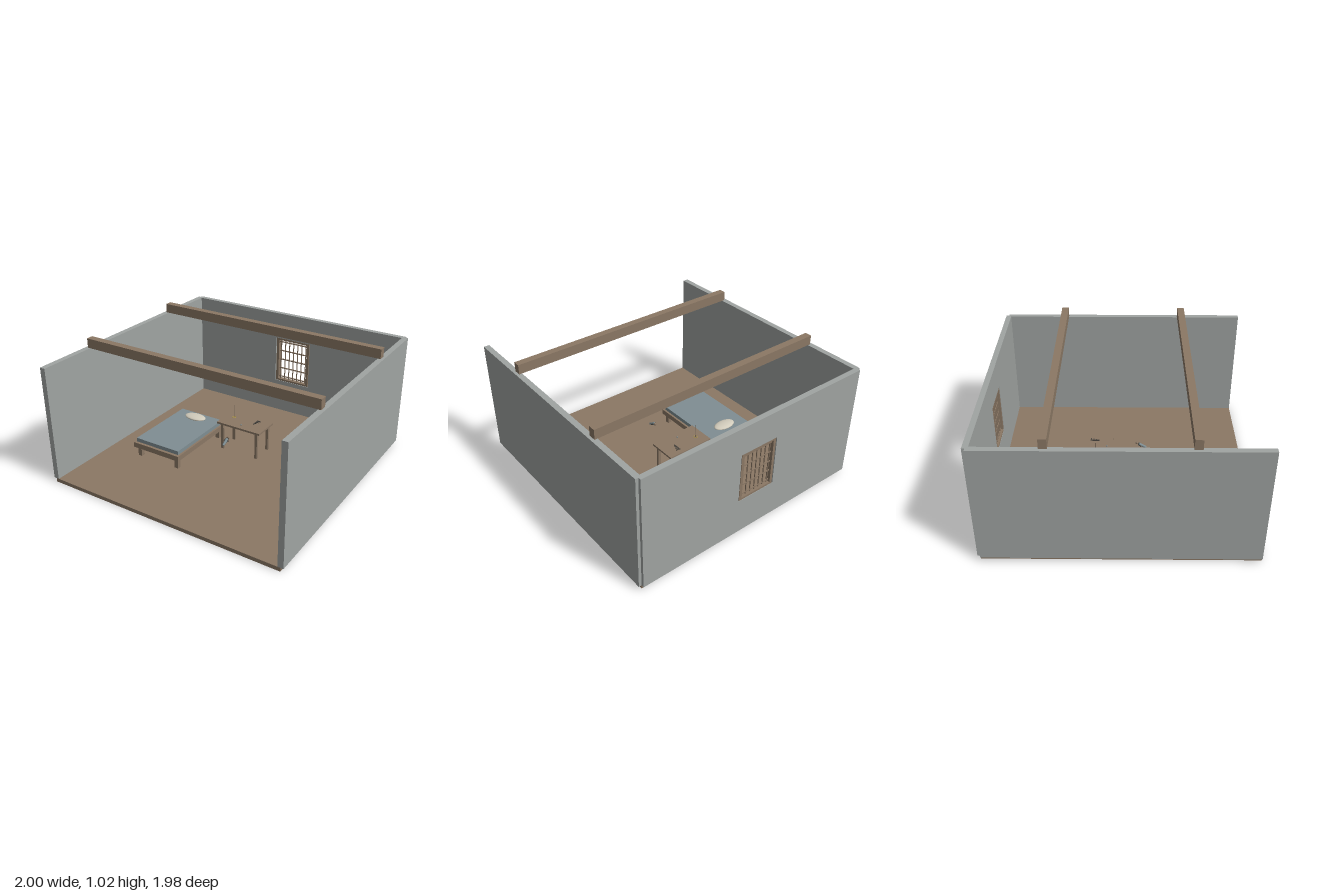
import * as THREE from 'three';

const mat = (color, extra = {}) => new THREE.MeshStandardMaterial({ color, ...extra });

export function createModel() {
  const room = new THREE.Group();
  room.name = 'room';
  const wood = mat(0x8b7865), plaster = mat(0xa0a4a2), cloth = mat(0x7f8e93);
  const cream = mat(0xd2ccbc), dark = mat(0x4a4640), gold = mat(0xb8a04a);

  const add = (parent, name, geometry, material, x = 0, y = 0, z = 0) => {
    const mesh = new THREE.Mesh(geometry, material);
    mesh.name = name;
    mesh.position.set(x, y, z);
    parent.add(mesh);
    return mesh;
  };
  // Box given by its minimum and maximum along each axis
  const box = (parent, name, material, x0, x1, y0, y1, z0, z1) =>
    add(parent, name, new THREE.BoxGeometry(x1 - x0, y1 - y0, z1 - z0), material,
      (x0 + x1) / 2, (y0 + y1) / 2, (z0 + z1) / 2);
  const group = (name) => {
    const g = new THREE.Group();
    g.name = name;
    room.add(g);
    return g;
  };

  // Floor, side walls and ceiling beams
  box(room, 'floor', wood, -0.978, 0.978, 0, 0.03, -0.97, 0.99);
  box(room, 'rightWall', plaster, -1, -0.956, 0.03, 0.945, -0.97, 0.99);
  box(room, 'leftWall', plaster, 0.956, 1, 0.03, 0.945, -0.97, 0.99);
  for (const z of [-0.482, 0.496])
    box(room, 'ceilingBeam', wood, -0.978, 0.978, 0.945, 1.02, z - 0.028, z + 0.028);

  // Back wall with window opening
  const wall = new THREE.Shape([[-0.978, 0.03], [0.978, 0.03], [0.978, 0.945], [-0.978, 0.945]]
    .map(p => new THREE.Vector2(...p)));
  wall.holes.push(new THREE.Path([[-0.163, 0.318], [-0.163, 0.722], [0.163, 0.722], [0.163, 0.318]]
    .map(p => new THREE.Vector2(...p))));
  add(room, 'backWall', new THREE.ExtrudeGeometry(wall, { depth: 0.042, bevelEnabled: false }),
    plaster, 0, 0, -0.992);

  // Window frame and lattice
  const win = group('window');
  for (const s of [-1, 1]) {
    box(win, 'frameSide', wood, s * 0.146 - 0.011, s * 0.146 + 0.011, 0.32, 0.72, -0.99, -0.952);
    const y = 0.52 + s * 0.192;
    box(win, 'frameRail', wood, -0.157, 0.157, y - 0.008, y + 0.008, -0.99, -0.952);
  }
  for (let i = -3; i <= 3; i++)
    box(win, 'verticalBar', wood, i * 0.04 - 0.003, i * 0.04 + 0.003, 0.325, 0.715, -0.975, -0.967);
  for (let i = -2; i <= 2; i++) {
    const y = 0.52 + i * 0.082;
    box(win, 'horizontalBar', wood, -0.14, 0.14, y - 0.004, y + 0.004, -0.976, -0.966);
  }

  // Bed
  const bed = group('bed');
  box(bed, 'bedFrame', wood, -0.695, -0.255, 0.11, 0.153, -0.255, 0.403);
  box(bed, 'mattress', cloth, -0.68, -0.272, 0.153, 0.185, -0.238, 0.38);
  for (const x of [-0.655, -0.293])
    for (const z of [-0.215, 0.363])
      box(bed, 'bedLeg', wood, x - 0.017, x + 0.017, 0.03, 0.11, z - 0.017, z + 0.017);
  add(bed, 'pillow', new THREE.SphereGeometry(1, 16, 12), cream, -0.475, 0.203, -0.142)
    .scale.set(0.098, 0.018, 0.056);

  // Table
  const table = group('table');
  box(table, 'tableTop', wood, -0.2, 0.195, 0.256, 0.272, -0.285, -0.06);
  for (const x of [-0.161, 0.157])
    for (const z of [-0.26, -0.085])
      box(table, 'tableLeg', wood, x - 0.011, x + 0.011, 0.03, 0.256, z - 0.011, z + 0.011);

  // Candle in a ring holder
  const candle = group('candle');
  add(candle, 'candleRing', new THREE.TorusGeometry(0.014, 0.0025, 8, 20), gold, -0.122, 0.275, -0.196)
    .rotation.x = Math.PI / 2;
  add(candle, 'candleStick', new THREE.CylinderGeometry(0.0025, 0.003, 0.115, 8), wood, -0.122, 0.33, -0.196);

  // Small things lying on the table
  const trinkets = group('trinkets');
  add(trinkets, 'bead', new THREE.SphereGeometry(0.006, 8, 6), cloth, -0.004, 0.276, -0.113);
  box(trinkets, 'keyShaft', dark, 0.072, 0.08, 0.272, 0.278, -0.245, -0.175);
  for (let i = 0; i < 3; i++)
    box(trinkets, 'keyTooth', dark, 0.08, 0.104 - i * 0.008, 0.272, 0.278, -0.242 + i * 0.02, -0.234 + i * 0.02);

  // Small reclining figurine floating in front of the table
  const figurine = group('figurine');
  figurine.position.set(0.028, 0.268, 0.155);
  const body = add(figurine, 'body', new THREE.CylinderGeometry(0.013, 0.009, 0.065, 8), cloth, 0, -0.008, 0.015);
  body.rotation.x = -1.1;
  add(figurine, 'head', new THREE.SphereGeometry(0.011, 10, 8), wood, 0.004, 0.014, -0.028);
  for (const s of [-1, 1]) {
    const arm = add(figurine, 'arm', new THREE.CylinderGeometry(0.004, 0.004, 0.032, 6), dark, s * 0.013, 0.004, -0.008);
    arm.rotation.set(-0.9, 0, s * 0.4);
  }
  return room;
}
